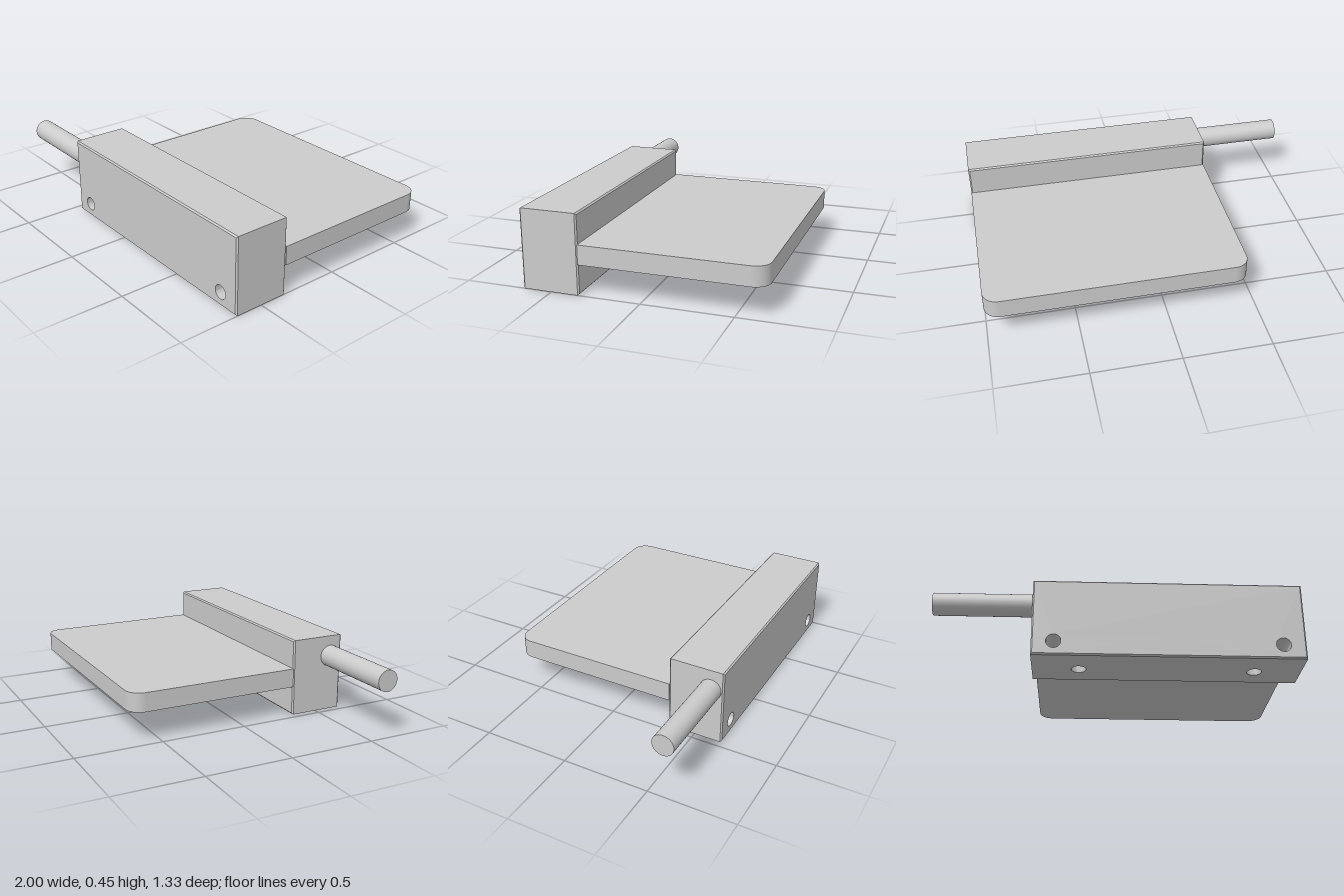
import * as THREE from 'three';
import { toCreasedNormals } from 'three/addons/utils/BufferGeometryUtils.js';

const X0 = -0.463, X1 = 1, TOP = 0.446, BACK = 0.34, FRONT = 0.663, CHAMFER = 0.008;
const HOLE_R = 0.04;

const grey = new THREE.MeshStandardMaterial({ color: 0xcccccc });
const greyDouble = new THREE.MeshStandardMaterial({ color: 0xcccccc, side: THREE.DoubleSide });

function add(parent, name, geometry, material = grey) {
  const mesh = new THREE.Mesh(geometry, material);
  mesh.name = name;
  parent.add(mesh);
  return mesh;
}

// Flat rectangle pierced by round holes
function panel(x0, y0, x1, y1, holes = []) {
  const s = new THREE.Shape();
  s.moveTo(x0, y0).lineTo(x1, y0).lineTo(x1, y1).lineTo(x0, y1).closePath();
  for (const [x, y] of holes) s.holes.push(new THREE.Path().absarc(x, y, HOLE_R, 0, Math.PI * 2, true));
  return new THREE.ShapeGeometry(s, 32);
}

// Blind drilled hole: straight wall and conical end, opening at the origin, running up +y
function drilledHole(depth) {
  const profile = [[HOLE_R, 0], [HOLE_R, depth], [0, depth + 0.024]].map(p => new THREE.Vector2(...p));
  return toCreasedNormals(new THREE.LatheGeometry(profile, 32), 0.6);
}

// Side walls and chamfers of the block, lofted through four rectangles; the flat underside is left open
function blockWalls() {
  const rect = (z, c) => [[X0 + c, c, z], [X1 - c, c, z], [X1 - c, TOP - c, z], [X0 + c, TOP - c, z]];
  const rings = [rect(BACK, CHAMFER), rect(BACK + CHAMFER, 0), rect(FRONT - CHAMFER, 0), rect(FRONT, CHAMFER)];
  const pos = [];
  for (let i = 0; i < 3; i++) {
    for (let j = 0; j < 4; j++) {
      if (i === 1 && j === 0) continue;
      const k = (j + 1) % 4;
      const a = rings[i][j], b = rings[i][k], c = rings[i + 1][k], d = rings[i + 1][j];
      pos.push(...a, ...b, ...c, ...a, ...c, ...d);
    }
  }
  const g = new THREE.BufferGeometry();
  g.setAttribute('position', new THREE.Float32BufferAttribute(pos, 3));
  g.computeVertexNormals();
  return g;
}

export function createModel() {
  const model = new THREE.Group();
  model.name = 'plateWithBlock';

  // Block with drilled front and underside
  const block = new THREE.Group();
  block.name = 'block';
  model.add(block);
  const frontHoles = [[-0.345, 0.08], [0.877, 0.08]];
  const bottomHoles = [[-0.21, 0.483], [0.745, 0.483]];
  const c = CHAMFER;
  add(block, 'blockWalls', blockWalls());
  add(block, 'blockFront', panel(X0 + c, c, X1 - c, TOP - c, frontHoles)).position.z = FRONT;
  add(block, 'blockBack', panel(-X1 + c, c, -X0 - c, TOP - c).rotateY(Math.PI)).position.z = BACK;
  add(block, 'blockUnderside', panel(X0, BACK + c, X1, FRONT - c, bottomHoles).rotateX(Math.PI / 2));
  for (const [x, y] of frontHoles) {
    add(block, 'frontHole', drilledHole(0.18).rotateX(-Math.PI / 2), greyDouble).position.set(x, y, FRONT);
  }
  for (const [x, z] of bottomHoles) {
    add(block, 'bottomHole', drilledHole(0.18), greyDouble).position.set(x, 0, z);
  }

  // Plate with two rounded rear corners
  const r = 0.085, rear = 0.663;
  const outline = new THREE.Shape();
  outline.moveTo(X0, -BACK).lineTo(X1, -BACK).lineTo(X1, rear - r);
  outline.absarc(X1 - r, rear - r, r, 0, Math.PI / 2, false);
  outline.absarc(X0 + r, rear - r, r, Math.PI / 2, Math.PI, false);
  outline.closePath();
  const plate = new THREE.ExtrudeGeometry(outline, { depth: 0.109, bevelEnabled: false, curveSegments: 16 });
  plate.rotateX(-Math.PI / 2);
  add(model, 'plate', toCreasedNormals(plate, 0.5)).position.y = 0.17;

  // Round rod out of the block's end
  const rod = new THREE.CylinderGeometry(0.062, 0.062, X0 + 1, 48).rotateZ(Math.PI / 2);
  add(model, 'rod', rod).position.set((X0 - 1) / 2, 0.327, 0.587);

  return model;
}
